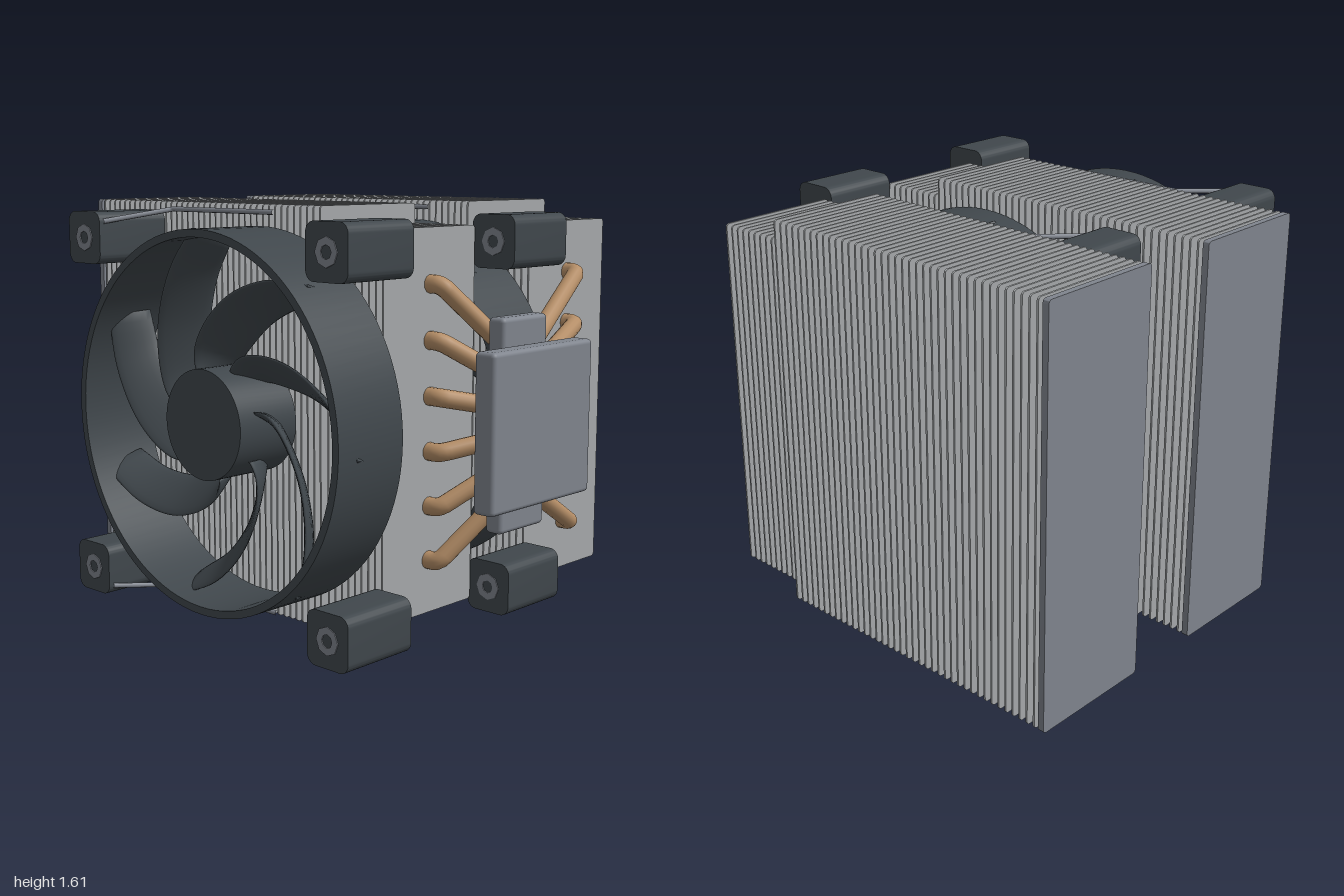
import * as THREE from 'three';
import { toCreasedNormals } from 'three/addons/utils/BufferGeometryUtils.js';
import { RoundedBoxGeometry } from 'three/addons/geometries/RoundedBoxGeometry.js';

const MID_Y = 0.806; // height of the fan axis and fin centres
const FAN_X = 0.065;

const mat = (name, color) => {
  const m = new THREE.MeshStandardMaterial({ color });
  m.name = name;
  return m;
};

function add(parent, name, geometry, material, x = 0, y = 0, z = 0) {
  const mesh = new THREE.Mesh(geometry, material);
  mesh.name = name;
  mesh.position.set(x, y, z);
  parent.add(mesh);
  return mesh;
}

function roundedRect(w, h, r) {
  const s = new THREE.Shape();
  s.absarc(w / 2 - r, h / 2 - r, r, 0, Math.PI / 2);
  s.absarc(-w / 2 + r, h / 2 - r, r, Math.PI / 2, Math.PI);
  s.absarc(-w / 2 + r, -h / 2 + r, r, Math.PI, Math.PI * 1.5);
  s.absarc(w / 2 - r, -h / 2 + r, r, Math.PI * 1.5, Math.PI * 2);
  s.closePath();
  return s;
}

function extrude(shape, depth, curveSegments) {
  const g = new THREE.ExtrudeGeometry(shape, { depth, curveSegments, bevelEnabled: false });
  g.translate(0, 0, -depth / 2);
  return toCreasedNormals(g, 0.6);
}

function annulus(outer, inner, depth, segments) {
  const s = new THREE.Shape().absarc(0, 0, outer, 0, Math.PI * 2);
  s.holes.push(new THREE.Path().absarc(0, 0, inner, 0, Math.PI * 2, true));
  return extrude(s, depth, segments);
}

// Plate lying in the YZ plane, thickness along x
const sidePlate = (zSize, ySize, thick, r) =>
  extrude(roundedRect(zSize, ySize, r), thick, 4).rotateY(Math.PI / 2);

// Swept, pitched blade: elliptical sections lofted along a spiral
function bladeGeometry() {
  const path = new THREE.CatmullRomCurve3(
    [[0.2, 114], [0.26, 104], [0.34, 89], [0.45, 74], [0.58, 59], [0.705, 46]].map(([r, deg]) => {
      const a = THREE.MathUtils.degToRad(deg);
      return new THREE.Vector3(r * Math.cos(a), r * Math.sin(a), 0);
    }));
  const rows = 24, sides = 16, pos = [], idx = [];
  for (let i = 0; i <= rows; i++) {
    const t = i / rows;
    const c = path.getPoint(t), tan = path.getTangent(t);
    const n = new THREE.Vector3(-tan.y, tan.x, 0);
    const half = 0.03 + 0.037 * Math.sin(Math.PI * Math.pow(t, 0.85)) + 0.008 * t;
    const chord = n.clone().multiplyScalar(half).add(new THREE.Vector3(0, 0, 0.075));
    const thick = new THREE.Vector3().crossVectors(tan, chord).normalize().multiplyScalar(0.012);
    for (let j = 0; j < sides; j++) {
      const a = (j / sides) * Math.PI * 2;
      const p = c.clone().addScaledVector(chord, Math.cos(a)).addScaledVector(thick, Math.sin(a));
      pos.push(p.x, p.y, p.z);
      if (i < rows) {
        const k = i * sides + j, l = i * sides + ((j + 1) % sides);
        idx.push(k, l, l + sides, k, l + sides, k + sides);
      }
    }
  }
  const last = rows * sides;
  for (let j = 1; j < sides - 1; j++) {
    idx.push(0, j + 1, j, last, last + j, last + j + 1);
  }
  const g = new THREE.BufferGeometry();
  g.setAttribute('position', new THREE.Float32BufferAttribute(pos, 3));
  g.setIndex(idx);
  g.computeVertexNormals();
  return g;
}

export function createModel() {
  const model = new THREE.Group();
  model.name = 'twinTowerCooler';
  const aluminium = mat('aluminium', 0xa6a9ab);
  const steel = mat('steel', 0x80858e);
  const dark = mat('darkPlastic', 0x40474c);
  const copper = mat('copper', 0xb58e67);

  // Two fin stacks with a thick end plate each
  const bigFin = sidePlate(0.526, 1.612, 0.008, 0.015);
  const smallFin = sidePlate(0.51, 1.46, 0.008, 0.015);
  const endPlate = sidePlate(0.526, 1.612, 0.026, 0.015);
  for (const [side, z] of [['front', 0.246], ['rear', -0.609]]) {
    const stack = new THREE.Group();
    stack.name = side + 'FinStack';
    model.add(stack);
    add(stack, 'endPlate', endPlate, steel, -0.987, MID_Y, z);
    for (let i = 0; i < 48; i++) {
      const x = -0.953 + i * 0.0341;
      add(stack, 'fin', x < 0.375 ? bigFin : smallFin, aluminium, x, MID_Y, z);
    }
  }

  // Heat pipes: straight through the fins, then bent into the base
  const pipes = new THREE.Group();
  pipes.name = 'heatPipes';
  model.add(pipes);
  for (const z of [0.246, -0.609]) {
    for (let i = 0; i < 6; i++) {
      const y = MID_Y + (2.5 - i) * 0.209;
      const start = new THREE.Vector3(i % 2 ? -0.957 : -0.937, y, z);
      const bend = new THREE.Vector3(0.705, y, z);
      const end = new THREE.Vector3(0.872, MID_Y + (y - MID_Y) * 0.43, -0.02);
      const before = bend.clone().add(new THREE.Vector3(-0.03, 0, 0));
      const after = bend.clone().add(end.clone().sub(bend).setLength(0.03));
      const path = new THREE.CurvePath();
      path.add(new THREE.LineCurve3(start, before));
      path.add(new THREE.QuadraticBezierCurve3(before, bend, after));
      path.add(new THREE.LineCurve3(after, end));
      add(pipes, 'heatPipe', new THREE.TubeGeometry(path, 120, 0.035, 14), copper);
      const cap = new THREE.CircleGeometry(0.035, 14).rotateY(-Math.PI / 2);
      add(pipes, 'pipeEnd', cap, copper, start.x, y, z);
    }
  }

  // Base block and contact plate
  add(model, 'baseBlock', new RoundedBoxGeometry(0.075, 0.81, 0.27, 3, 0.018), steel, 0.872, MID_Y, 0);
  add(model, 'contactPlate', new RoundedBoxGeometry(0.092, 0.594, 0.605, 3, 0.018), steel, 0.954, 0.81, 0);

  // Two fans
  const ring = annulus(0.725, 0.695, 0.325, 48);
  const hub = new THREE.CylinderGeometry(0.21, 0.21, 0.28, 64).rotateX(Math.PI / 2);
  const pad = new RoundedBoxGeometry(0.2, 0.204, 0.325, 4, 0.038);
  const padBody = extrude(roundedRect(0.2, 0.204, 0.04), 0.325, 6);
  pad.dispose();
  const eyelet = annulus(0.053, 0.025, 0.008, 4);
  const blade = bladeGeometry();
  for (const [side, z] of [['front', 0.709], ['rear', -0.182]]) {
    const fan = new THREE.Group();
    fan.name = side + 'Fan';
    fan.position.set(FAN_X, MID_Y, z);
    model.add(fan);
    add(fan, 'fanRing', ring, dark);
    add(fan, 'fanHub', hub, dark);
    for (let i = 0; i < 7; i++) {
      add(fan, 'fanBlade', blade, dark).rotation.z = (i / 7) * Math.PI * 2;
    }
    for (const sy of [1, -1]) {
      for (const sx of [1, -1]) {
        add(fan, 'cornerPad', padBody, dark, sx * 0.67, sy * 0.67, 0);
        add(fan, 'padEyelet', eyelet, steel, sx * 0.67, sy * 0.67, 0.162);
      }
      // Bent wire clip from the pad to the fin edge
      const pts = [[-0.57, 0.735, 0.145], [-0.495, 0.778, -0.147], [0.075, 0.778, -0.16]]
        .map(([x, y, pz]) => new THREE.Vector3(x, sy * y, pz));
      const wire = new THREE.CurvePath();
      wire.add(new THREE.LineCurve3(pts[0], pts[1]));
      wire.add(new THREE.LineCurve3(pts[1], pts[2]));
      add(fan, 'wireClip', new THREE.TubeGeometry(wire, 40, 0.01, 8), steel);
    }
  }
  return model;
}
